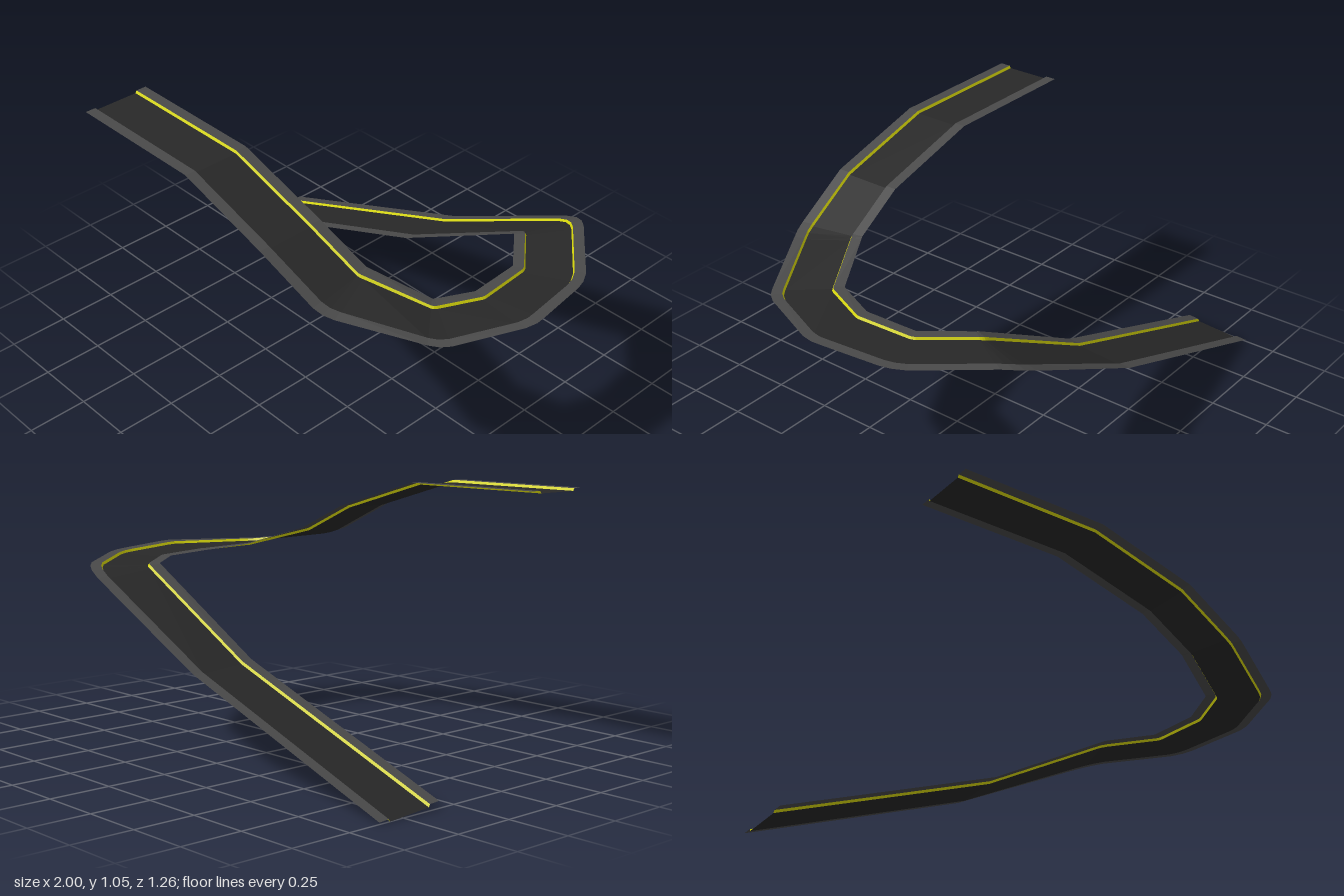
import * as THREE from 'three';

// Stations along the road: outer edge x, y, z then inner edge x, y, z
const stations = [
  [-0.84, 1.05, 0.62, -0.84, 1.05, 0.33],
  [-0.22, 1.05, 0.62, -0.22, 1.05, 0.33],
  [0.20, 0.93, 0.627, 0.20, 0.93, 0.337],
  [0.45, 0.805, 0.603, 0.42, 0.823, 0.315],
  [0.49, 0.79, 0.593, 0.425, 0.822, 0.313],
  [0.53, 0.78, 0.573, 0.43, 0.82, 0.31],
  [0.82, 0.745, 0.405, 0.645, 0.745, 0.203],
  [0.855, 0.743, 0.38, 0.648, 0.744, 0.2],
  [0.88, 0.742, 0.345, 0.65, 0.743, 0.195],
  [0.99, 0.745, 0.085, 0.705, 0.727, 0.042],
  [1.0, 0.746, 0.035, 0.706, 0.727, 0.037],
  [0.995, 0.745, -0.01, 0.706, 0.727, 0.03],
  [0.957, 0.734, -0.24, 0.69, 0.72, -0.175],
  [0.943, 0.732, -0.285, 0.69, 0.72, -0.18],
  [0.915, 0.73, -0.335, 0.688, 0.72, -0.185],
  [0.705, 0.722, -0.575, 0.553, 0.714, -0.345],
  [0.67, 0.714, -0.606, 0.55, 0.713, -0.347],
  [0.63, 0.70, -0.626, 0.548, 0.713, -0.348],
  [0.575, 0.675, -0.636, 0.545, 0.712, -0.348],
  [-0.03, 0.373, -0.634, -0.03, 0.395, -0.349],
  [-1.0, 0.01, -0.613, -1.0, 0.03, -0.325],
];

// Sweeps a strip between two points [t, drop] of the cross-section
function strip(name, color, [t0, d0], [t1, d1]) {
  const pos = [], index = [];
  stations.forEach(([ox, oy, oz, ix, iy, iz], i) => {
    const outer = new THREE.Vector3(ox, oy, oz), inner = new THREE.Vector3(ix, iy, iz);
    for (const [t, d] of [[t0, d0], [t1, d1]]) {
      const p = outer.clone().lerp(inner, t);
      pos.push(p.x, p.y - d, p.z);
    }
    if (i) {
      const a = 2 * i - 2;
      index.push(a, a + 2, a + 1, a + 1, a + 2, a + 3);
    }
  });
  const geo = new THREE.BufferGeometry();
  geo.setAttribute('position', new THREE.Float32BufferAttribute(pos, 3));
  geo.setIndex(index);
  geo.computeVertexNormals();
  const mesh = new THREE.Mesh(geo, new THREE.MeshStandardMaterial({
    color, flatShading: true, side: THREE.DoubleSide,
  }));
  mesh.name = name;
  return mesh;
}

export function createModel() {
  const road = new THREE.Group();
  road.name = 'curvedRoad';
  const kerb = 0.155, lane = 0.175, drop = 0.01;
  // Asphalt sits slightly below the kerbs; painted lines slope between them
  road.add(
    strip('outerShoulder', 0x4a4a4a, [0, 0], [kerb, 0]),
    strip('outerLine', 0xd4d40a, [kerb, 0], [lane, drop]),
    strip('asphalt', 0x282828, [lane, drop], [1 - lane, drop]),
    strip('innerLine', 0xd4d40a, [1 - lane, drop], [1 - kerb, 0]),
    strip('innerShoulder', 0x4a4a4a, [1 - kerb, 0], [1, 0]),
  );
  return road;
}
